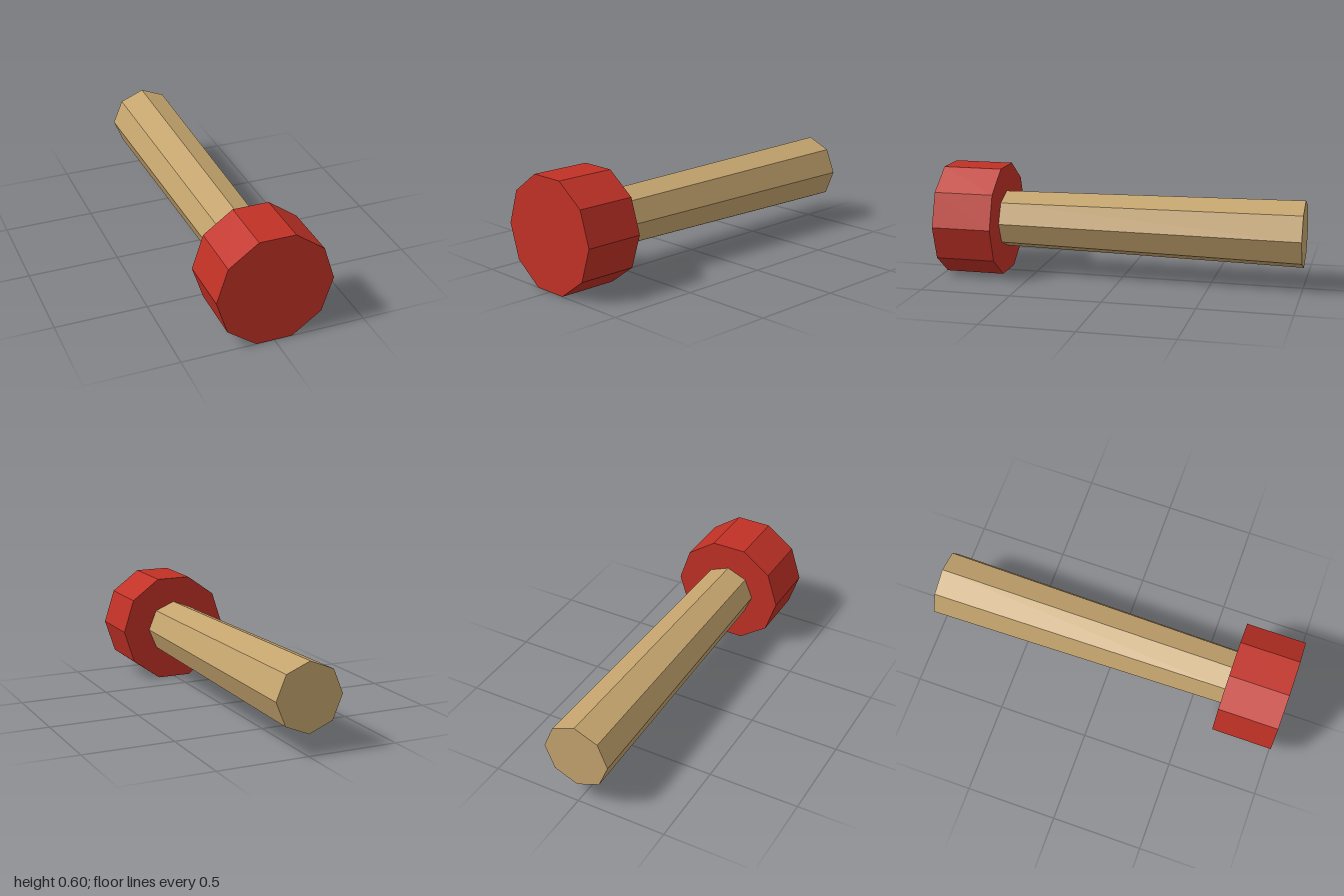
import * as THREE from 'three';

const red = new THREE.MeshStandardMaterial({ name: 'red', color: 0xc03126, flatShading: true });
const wood = new THREE.MeshStandardMaterial({ name: 'wood', color: 0xc4a46e, flatShading: true });

const AXIS_HEIGHT = 0.3;
const HEAD_BACK = 0.67;

// Faceted prism along z, with a corner pointing to +x
function prism(name, frontRadius, backRadius, front, back, sides, material) {
  const geometry = new THREE.CylinderGeometry(
    frontRadius, backRadius, front - back, sides, 1, false, Math.PI / 2);
  geometry.rotateX(Math.PI / 2);
  const mesh = new THREE.Mesh(geometry, material);
  mesh.name = name;
  mesh.position.set(0, AXIS_HEIGHT, (front + back) / 2);
  return mesh;
}

export function createModel() {
  const model = new THREE.Group();
  model.name = 'peg';
  // Ten-sided head at the front
  model.add(prism('head', 0.315, 0.315, 1, HEAD_BACK, 10, red));
  // Eight-sided shaft, widening towards the back
  model.add(prism('shaft', 0.158, 0.185, HEAD_BACK, -1, 8, wood));
  return model;
}
